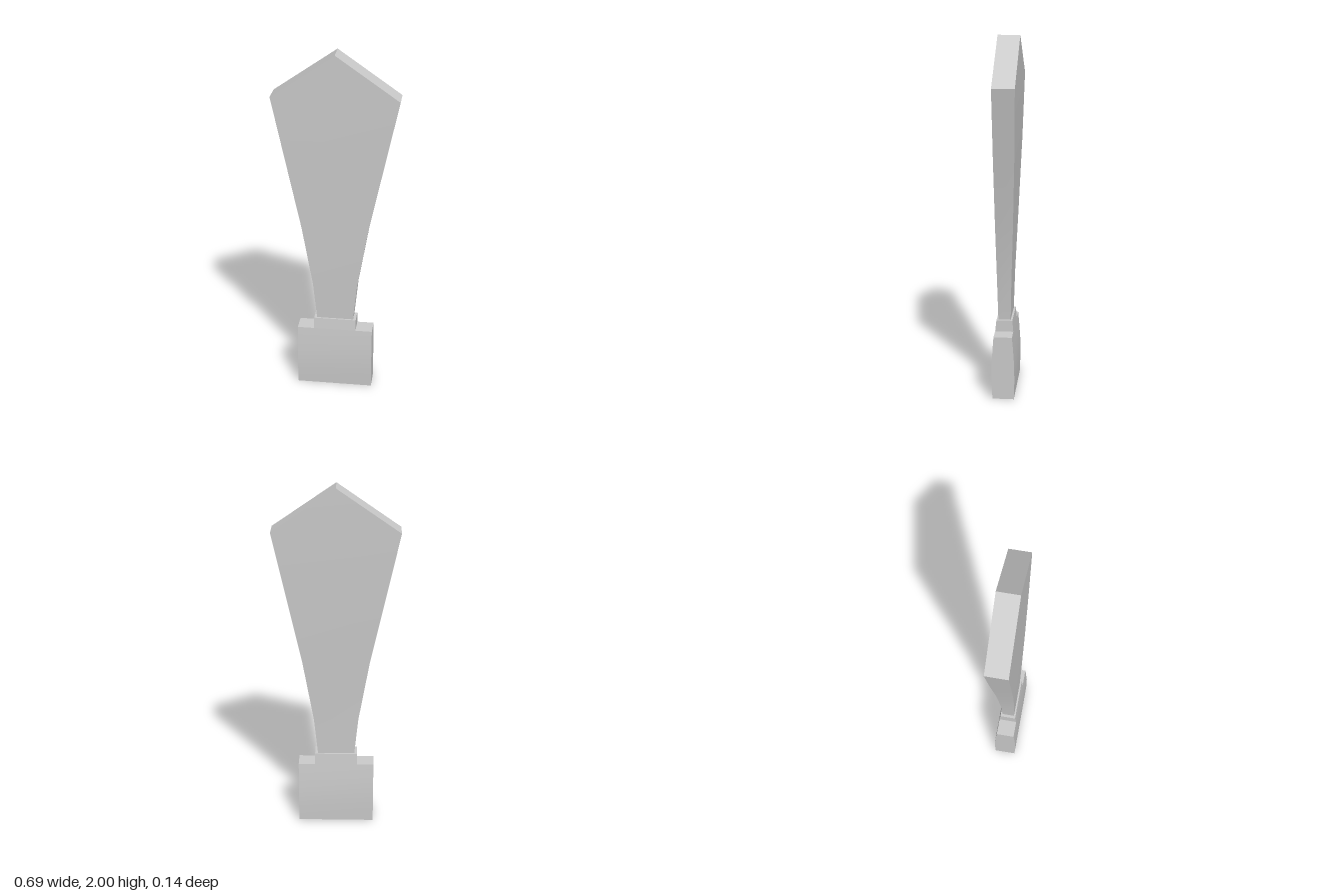
import * as THREE from 'three';
import { toCreasedNormals } from 'three/addons/utils/BufferGeometryUtils.js';

const material = new THREE.MeshStandardMaterial({ color: 0xcccccc });

// Skins rectangular sections, listed upwards as [y, half width, front z, back z].
function loft(name, sections) {
  const positions = [];
  const index = [];
  for (const [y, w, front, back] of sections) {
    positions.push(-w, y, front, w, y, front, w, y, back, -w, y, back);
  }
  for (let s = 0; s < sections.length - 1; s++) {
    for (let i = 0; i < 4; i++) {
      const a = s * 4 + i;
      const b = s * 4 + (i + 1) % 4;
      index.push(a, b, b + 4, a, b + 4, a + 4);
    }
  }
  // End caps
  const t = (sections.length - 1) * 4;
  index.push(0, 2, 1, 0, 3, 2, t, t + 1, t + 2, t, t + 2, t + 3);

  const geometry = new THREE.BufferGeometry();
  geometry.setAttribute('position', new THREE.Float32BufferAttribute(positions, 3));
  geometry.setIndex(index);
  const mesh = new THREE.Mesh(toCreasedNormals(geometry, 0.4), material);
  mesh.name = name;
  return mesh;
}

export function createModel() {
  const group = new THREE.Group();
  group.name = 'paddleBlade';

  // Flaring blade with a pointed tip, thicker towards the top
  group.add(loft('blade', [
    [0.41, 0.102, 0.04, -0.028],
    [0.65, 0.126, 0.045, -0.034],
    [1.0, 0.185, 0.05, -0.048],
    [1.4, 0.269, 0.052, -0.062],
    [1.76, 0.345, 0.052, -0.07],
    [2.0, 0, 0.052, -0.07],
  ]));

  // Bowed grip block, stepping in to a narrow collar under the blade
  group.add(loft('grip', [
    [0, 0.215, 0.064, -0.056],
    [0.1, 0.215, 0.068, -0.059],
    [0.2, 0.215, 0.068, -0.058],
    [0.3, 0.215, 0.062, -0.051],
    [0.365, 0.215, 0.057, -0.045],
    [0.365, 0.12, 0.057, -0.045],
    [0.43, 0.12, 0.05, -0.039],
  ]));

  return group;
}
